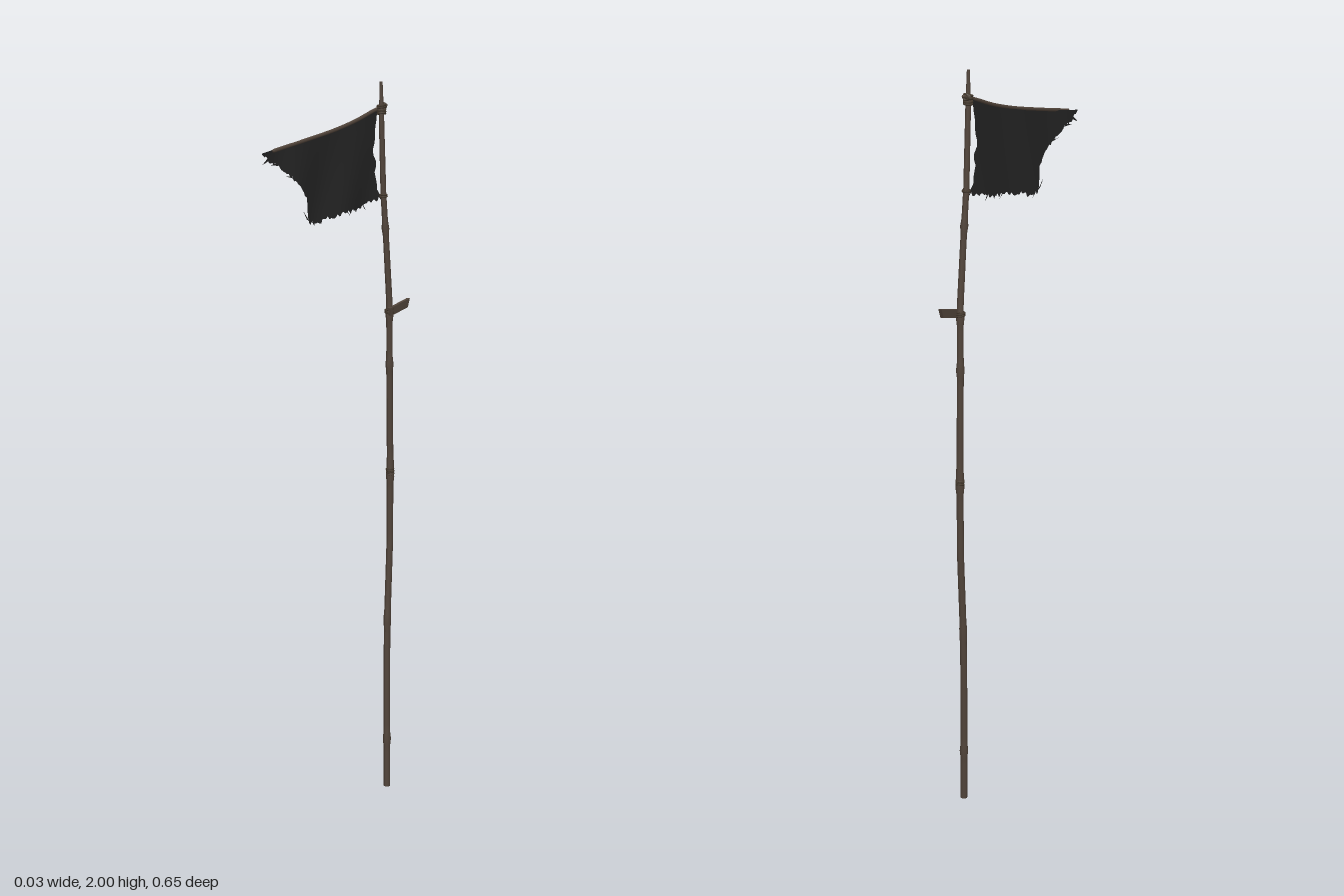
import * as THREE from 'three';

const wood = new THREE.MeshStandardMaterial({ color: 0x51443a });
wood.name = 'weathered wood';
const rope = new THREE.MeshStandardMaterial({ color: 0x453a2e });
rope.name = 'rope';
const cloth = new THREE.MeshStandardMaterial({ color: 0x252525, side: THREE.DoubleSide });
cloth.name = 'black cloth';

// piecewise linear lookup in [key, value] pairs with rising keys
function lookup(table, k) {
  for (let i = 1; i < table.length; i++) {
    const [k0, v0] = table[i - 1], [k1, v1] = table[i];
    if (k <= k1) return THREE.MathUtils.lerp(v0, v1, Math.max(0, (k - k0) / (k1 - k0)));
  }
  return table[table.length - 1][1];
}

let seed = 7;
const random = () => (seed = (seed * 16807) % 2147483647) / 2147483647;

// centre line and radius of the crooked pole
const poleZ = [[0, -0.24], [0.25, -0.242], [0.5, -0.247], [0.72, -0.259], [0.95, -0.257],
  [1.2, -0.246], [1.38, -0.24], [1.55, -0.226], [1.7, -0.212], [1.9, -0.198], [2, -0.194]];
const poleX = [[0, 0.001], [0.4, -0.004], [0.75, -0.005], [1, -0.003], [1.4, 0.004], [1.7, 0.001], [2, 0.005]];
const poleR = [[0, 0.0095], [0.8, 0.0095], [1.4, 0.009], [1.9, 0.0075], [2, 0.004]];
const poleAt = y => new THREE.Vector3(lookup(poleX, y), y, lookup(poleZ, y));
const knots = [0.14, 0.49, 0.9, 0.93, 1.22, 1.36, 1.6];

function add(group, name, geometry, material) {
  const mesh = new THREE.Mesh(geometry, material);
  mesh.name = name;
  group.add(mesh);
  return mesh;
}

// pole: a cylinder bent along the centre line, swelling at the knots
function poleGeometry() {
  const g = new THREE.CylinderGeometry(1, 1, 2, 9, 100).translate(0, 1, 0);
  const p = g.attributes.position;
  for (let i = 0; i < p.count; i++) {
    const y = p.getY(i), c = poleAt(y);
    let r = lookup(poleR, y);
    for (const k of knots) r += 0.0025 * Math.exp(-(((y - k) / 0.012) ** 2));
    p.setXYZ(i, c.x + p.getX(i) * r, y, c.z + p.getZ(i) * r);
  }
  g.computeVertexNormals();
  return g;
}

// flag outline: upper and lower edge heights along z, and the hoist edge along y
const topEdge = [[-0.22, 1.932], [-0.19, 1.925], [-0.1, 1.898], [0, 1.878], [0.14, 1.853], [0.275, 1.835], [0.327, 1.828]];
const lowEdge = [[-0.2, 1.682], [-0.15, 1.672], [-0.1, 1.657], [-0.02, 1.65], [0.04, 1.642], [0.08, 1.632],
  [0.115, 1.637], [0.125, 1.66], [0.133, 1.7], [0.165, 1.735], [0.22, 1.768], [0.265, 1.798], [0.29, 1.803], [0.327, 1.825]];
const hoistEdge = [[1.67, -0.217], [1.69, -0.212], [1.71, -0.196], [1.73, -0.2], [1.75, -0.186], [1.78, -0.199],
  [1.8, -0.18], [1.82, -0.176], [1.84, -0.187], [1.87, -0.183], [1.9, -0.192], [1.93, -0.193]];
const ripple = (y, z) => -0.007 + (0.002 + 0.022 * Math.max(0, 1.88 - y)) * Math.sin(z * 26 + y * 9)
  - 0.004 * Math.exp(-(((z - 0.25) / 0.05) ** 2));

function flagGeometry() {
  const cols = 84, rows = 16, points = [], index = [];
  for (let i = 0; i <= cols; i++) {
    const u = i / cols, z0 = -0.2 + 0.527 * u;
    const top = lookup(topEdge, z0);
    const low = Math.min(top - 0.001, lookup(lowEdge, z0) + (i < cols - 2 ? (random() - 0.45) * 0.014 : 0));
    for (let j = 0; j <= rows; j++) {
      const y = THREE.MathUtils.lerp(low, top, j / rows);
      // the torn hoist edge fades out into the cloth
      const z = z0 + (lookup(hoistEdge, y) + 0.2) * Math.max(0, 1 - u * 5);
      points.push(ripple(y, z), y, z);
      if (i && j) {
        const a = (i - 1) * (rows + 1) + j - 1, b = a + rows + 1;
        index.push(a, b, b + 1, a, b + 1, a + 1);
      }
    }
  }
  const g = new THREE.BufferGeometry();
  g.setAttribute('position', new THREE.Float32BufferAttribute(points, 3));
  g.setIndex(index);
  g.computeVertexNormals();
  return g;
}

// loose shred hanging off a torn edge: one narrow triangle
function shredGeometry(z, y, dz, dy, width) {
  const x = ripple(y, z);
  return new THREE.BufferGeometry().setFromPoints([
    new THREE.Vector3(x, y, z - width), new THREE.Vector3(x, y + 0.006, z + width),
    new THREE.Vector3(x - 0.002, y + dy, z + dz)]);
}

// a coil of rope turns around an axis
function coil(group, name, centre, axis, turns, radius, thick) {
  const part = new THREE.Group();
  part.name = name;
  for (let i = 0; i < turns; i++) {
    const ring = add(part, name + 'Turn', new THREE.TorusGeometry(radius, thick, 6, 14), rope);
    ring.position.copy(centre).addScaledVector(axis, (i - (turns - 1) / 2) * thick * 1.7);
    const tilt = new THREE.Vector3((random() - 0.5) * 0.4, (random() - 0.5) * 0.4, (random() - 0.5) * 0.4);
    ring.quaternion.setFromUnitVectors(new THREE.Vector3(0, 0, 1), tilt.add(axis).normalize());
  }
  group.add(part);
}

export function createModel() {
  const model = new THREE.Group();
  model.name = 'tatteredFlag';
  add(model, 'pole', poleGeometry(), wood);

  // broken branch stub, cut at a slant
  const stub = new THREE.BoxGeometry(0.01, 0.022, 0.098);
  const sp = stub.attributes.position;
  for (let i = 0; i < sp.count; i++) {
    if (sp.getZ(i) < 0 && sp.getY(i) < 0) sp.setZ(i, sp.getZ(i) + 0.014);
  }
  stub.computeVertexNormals();
  const branch = add(model, 'branchStub', stub, wood);
  branch.position.set(0.0115, 1.378, -0.277);
  branch.rotation.x = 0.2;

  // crossbar carrying the flag
  const bar = new THREE.CatmullRomCurve3([[0, 1.936, -0.225], [-0.005, 1.924, -0.18], [-0.007, 1.9, -0.1],
    [-0.006, 1.878, 0], [-0.007, 1.856, 0.13], [-0.006, 1.833, 0.28]].map(p => new THREE.Vector3(...p)));
  add(model, 'crossbar', new THREE.TubeGeometry(bar, 24, 0.005, 6), wood);
  for (const t of [0, 1]) {
    const end = add(model, 'crossbarEnd', new THREE.SphereGeometry(0.005, 6, 4), wood);
    end.position.copy(bar.getPoint(t));
  }

  // cloth and its torn shreds
  add(model, 'flag', flagGeometry(), cloth);
  const shreds = [[0.12, 1.64, 0.02, 0.03, 0.006], [0.1, 1.635, -0.02, -0.012, 0.006], [0.2, 1.757, 0.03, 0.008, 0.006],
    [0.255, 1.793, 0.03, 0.002, 0.006], [0.05, 1.645, -0.025, -0.008, 0.006], [-0.04, 1.655, -0.02, -0.012, 0.006],
    [-0.13, 1.668, -0.02, -0.016, 0.006], [0.29, 1.81, 0.028, -0.012, 0.005]];
  for (const s of shreds) {
    const g = shredGeometry(...s);
    g.computeVertexNormals();
    add(model, 'shred', g, cloth);
  }

  // rope lashings
  const up = new THREE.Vector3(0, 1, 0.07).normalize();
  const along = new THREE.Vector3(0, -0.25, 1).normalize();
  coil(model, 'upperLashing', poleAt(1.925), up, 5, 0.0105, 0.0032);
  coil(model, 'crossbarLashing', bar.getPoint(0.06), along, 3, 0.0075, 0.0028);
  coil(model, 'lowerLashing', poleAt(1.69), up, 2, 0.0095, 0.0025);
  coil(model, 'branchLashing', poleAt(1.37), up, 3, 0.0115, 0.0028);
  coil(model, 'middleBinding', poleAt(0.915), up, 4, 0.01, 0.0025);
  return model;
}
